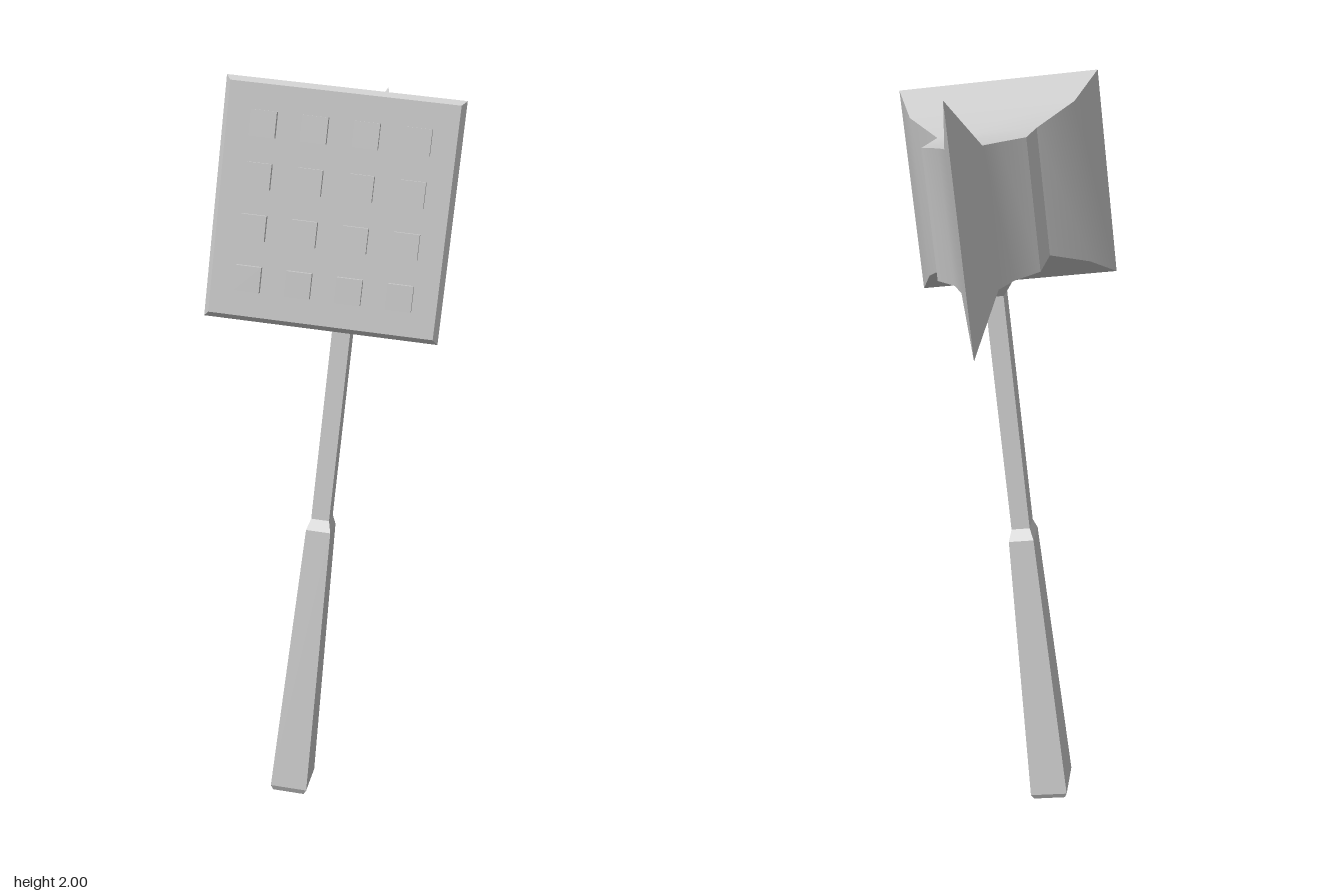
import * as THREE from 'three';
import { toCreasedNormals } from 'three/addons/utils/BufferGeometryUtils.js';

const material = new THREE.MeshStandardMaterial({ color: 0xcccccc });

// Rectangular loft along +z; each section is [z, halfWidth, halfHeight]
function loft(sections, crease) {
  const rings = sections.map(([z, a, b]) =>
    [[a, b, z], [-a, b, z], [-a, -b, z], [a, -b, z]]);
  const pos = [];
  const same = (p, q) => p.every((v, i) => Math.abs(v - q[i]) < 1e-6);
  const tri = (p, q, r) => {
    if (!same(p, q) && !same(q, r) && !same(p, r)) pos.push(...p, ...q, ...r);
  };
  const quad = (p, q, r, s) => { tri(p, q, r); tri(p, r, s); };
  for (let i = 0; i < rings.length - 1; i++) {
    for (let k = 0; k < 4; k++) {
      const n = (k + 1) % 4;
      quad(rings[i][k], rings[i][n], rings[i + 1][n], rings[i + 1][k]);
    }
  }
  // End caps, skipped where the section is a knife edge
  const first = rings[0], last = rings[rings.length - 1];
  if (sections[0][1] > 0) quad(first[3], first[2], first[1], first[0]);
  if (sections[sections.length - 1][1] > 0) quad(...last);
  const geo = new THREE.BufferGeometry();
  geo.setAttribute('position', new THREE.Float32BufferAttribute(pos, 3));
  geo.computeVertexNormals();
  return toCreasedNormals(geo, crease);
}

function addMesh(parent, name, geo) {
  const mesh = new THREE.Mesh(geo, material);
  mesh.name = name;
  parent.add(mesh);
  return mesh;
}

export function createModel() {
  const model = new THREE.Group();
  model.name = 'meatHammer';

  // Tool is built upright about the head centre, then leaned and turned
  const tool = new THREE.Group();
  tool.name = 'tool';
  tool.position.set(0.055, 1.675, -0.04);
  tool.rotation.set(0, -0.12, -0.11, 'ZYX');
  model.add(tool);

  // Head: axe edge at the back, square bevelled striking face at the front
  addMesh(tool, 'head', loft([
    [-0.483, 0, 0.307],
    [-0.267, 0.047, 0.178],
    [-0.175, 0.078, 0.174],
    [-0.09, 0.135, 0.172],
    [0.165, 0.135, 0.172],
    [0.31, 0.23, 0.222],
    [0.505, 0.287, 0.289],
    [0.52, 0.275, 0.277],
  ], 0.5));

  // Grid of tenderizing teeth
  const teeth = new THREE.Group();
  teeth.name = 'teeth';
  tool.add(teeth);
  const toothGeo = new THREE.BoxGeometry(0.062, 0.062, 0.03);
  for (let row = 0; row < 4; row++) {
    for (let col = 0; col < 4; col++) {
      addMesh(teeth, 'tooth', toothGeo)
        .position.set((col - 1.5) * 0.123, (row - 1.5) * 0.123, 0.522);
    }
  }

  // Handle: chamfered butt, thick tapered grip and slim neck
  addMesh(tool, 'handle', loft([
    [-1.675, 0.044, 0.073],
    [-1.66, 0.051, 0.081],
    [-0.91, 0.034, 0.056],
    [-0.88, 0.025, 0.04],
    [-0.2, 0.025, 0.04],
  ], 0.2).rotateX(-Math.PI / 2));

  // Flared collar under the head
  addMesh(tool, 'collar', loft([
    [-0.235, 0.026, 0.041],
    [-0.165, 0.075, 0.095],
  ], 0.2).rotateX(-Math.PI / 2));

  return model;
}
